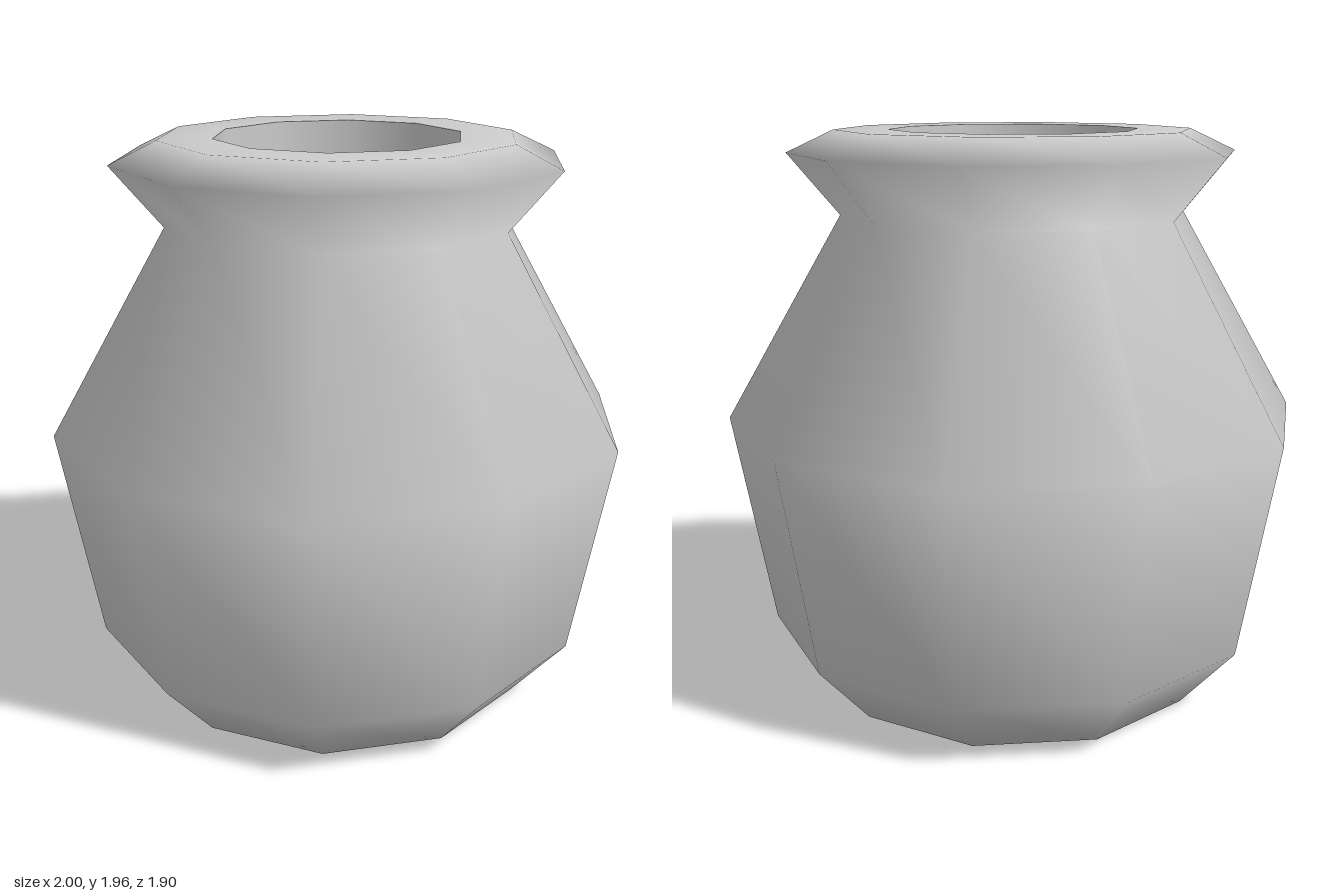
import * as THREE from 'three';

const SIDES = 10;

// Ten-sided turned part with a corner on the x axis, from [radius, height] pairs
function turned(name, profile, material) {
  const points = profile.map(([r, y]) => new THREE.Vector2(r, y));
  const mesh = new THREE.Mesh(new THREE.LatheGeometry(points, SIDES, Math.PI / 2), material);
  mesh.name = name;
  return mesh;
}

export function createModel() {
  const group = new THREE.Group();
  group.name = 'pot';
  const material = new THREE.MeshStandardMaterial({ color: 0xcccccc });

  // Outer shell: base, bevelled foot, belly, neck, flared lip and flat rim
  group.add(turned('body', [
    [0, 0], [0.67, 0], [0.865, 0.22], [1, 0.97],
    [0.595, 1.67], [0.77, 1.88], [0.61, 1.955], [0.425, 1.955],
  ], material));

  // Shallow mouth with crisp edges
  group.add(turned('mouthWall', [[0.425, 1.955], [0.425, 1.65]], material));
  group.add(turned('mouthFloor', [[0.425, 1.65], [0, 1.65]], material));

  return group;
}
